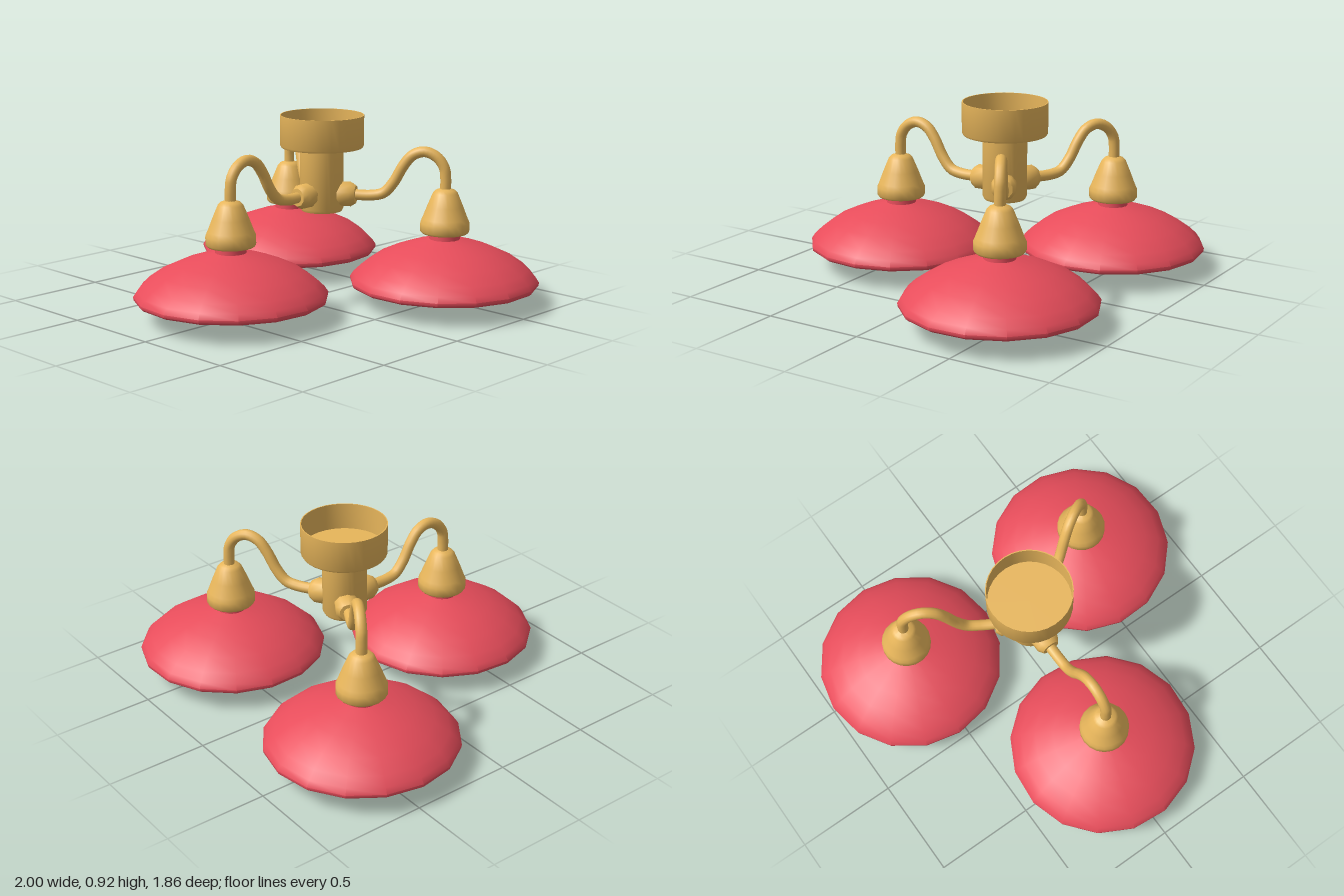
import * as THREE from 'three';
import { toCreasedNormals } from 'three/addons/utils/BufferGeometryUtils.js';

const brass = new THREE.MeshStandardMaterial({ color: 0xe8b65b });
brass.name = 'brass';
const red = new THREE.MeshStandardMaterial({ color: 0xe84d5b });
red.name = 'red enamel';
const cream = new THREE.MeshStandardMaterial({ color: 0xded59a });
cream.name = 'cream glass';

const HUB_Z = -0.155; // centre of the ceiling mount
const REACH = 0.62;   // distance from hub to each lamp
const PHASE = THREE.MathUtils.degToRad(6);

// Turned part from [radius, height] pairs, listed bottom to top on the outside
function turned(name, profile, segments, material, crease = 0.6, phase = 0) {
  const points = profile.map(([r, y]) => new THREE.Vector2(r, y));
  const lathe = new THREE.LatheGeometry(points, segments, phase);
  const mesh = new THREE.Mesh(toCreasedNormals(lathe, crease), material);
  mesh.name = name;
  return mesh;
}

// One arm reaching along +z with its socket, shade and bulb
function createLampArm() {
  const arm = new THREE.Group();

  // Collar joining the arm to the stem
  const collar = turned('collar',
    [[0, 0.08], [0.062, 0.08], [0.062, 0.148], [0.045, 0.174], [0, 0.175]], 10, brass, 0.9);
  collar.rotation.x = Math.PI / 2;
  collar.position.y = 0.525;
  arm.add(collar);

  // Swan-neck tube
  const path = new THREE.CatmullRomCurve3([
    [0.14, 0.525], [0.25, 0.525], [0.312, 0.54], [0.362, 0.595], [0.41, 0.68],
    [0.455, 0.734], [0.515, 0.754], [0.575, 0.73], [0.612, 0.68], [0.62, 0.63], [0.62, 0.55],
  ].map(([z, y]) => new THREE.Vector3(0, y, z)));
  const tube = new THREE.Mesh(new THREE.TubeGeometry(path, 40, 0.027, 12), brass);
  tube.name = 'swanNeck';
  arm.add(tube);

  // Hanging lamp: the shade runs from its conical underside round the rim to the neck
  const lamp = new THREE.Group();
  lamp.name = 'lamp';
  lamp.position.z = REACH;
  lamp.add(
    turned('socket', [[0, 0.357], [0.112, 0.357], [0.121, 0.368], [0.121, 0.408], [0.111, 0.43],
      [0.088, 0.49], [0.061, 0.555], [0.048, 0.569], [0.025, 0.577]], 20, brass, 0.9),
    turned('shade', [[0.03, 0.25], [0.452, 0.098], [0.463, 0.107], [0.465, 0.122],
      [0.447, 0.149], [0.41, 0.184], [0.34, 0.233], [0.25, 0.275], [0.16, 0.306],
      [0.075, 0.327], [0.073, 0.365]], 16, red, 0.8, PHASE),
    turned('bulb', [[0, 0.002], [0.04, 0.009], [0.078, 0.031], [0.104, 0.067], [0.113, 0.11],
      [0.108, 0.145], [0.096, 0.175], [0.088, 0.2], [0.085, 0.25]], 20, cream),
  );
  arm.add(lamp);
  return arm;
}

export function createModel() {
  const model = new THREE.Group();
  model.name = 'ceilingLamp';
  const fixture = new THREE.Group();
  fixture.name = 'fixture';
  fixture.position.z = HUB_Z;
  model.add(fixture);

  // Open-topped ceiling cup and central stem
  fixture.add(
    turned('ceilingCup', [[0, 0.757], [0.202, 0.757], [0.208, 0.767], [0.208, 0.917],
      [0.203, 0.917], [0.203, 0.785], [0, 0.785]], 32, brass),
    turned('stem', [[0, 0.437], [0.1, 0.437], [0.108, 0.452], [0.108, 0.76]], 32, brass),
  );

  // Three arms, a third of a turn apart
  for (let i = 0; i < 3; i++) {
    const arm = createLampArm();
    arm.name = `lampArm${i + 1}`;
    arm.rotation.y = (i * Math.PI * 2) / 3;
    fixture.add(arm);
  }
  return model;
}
